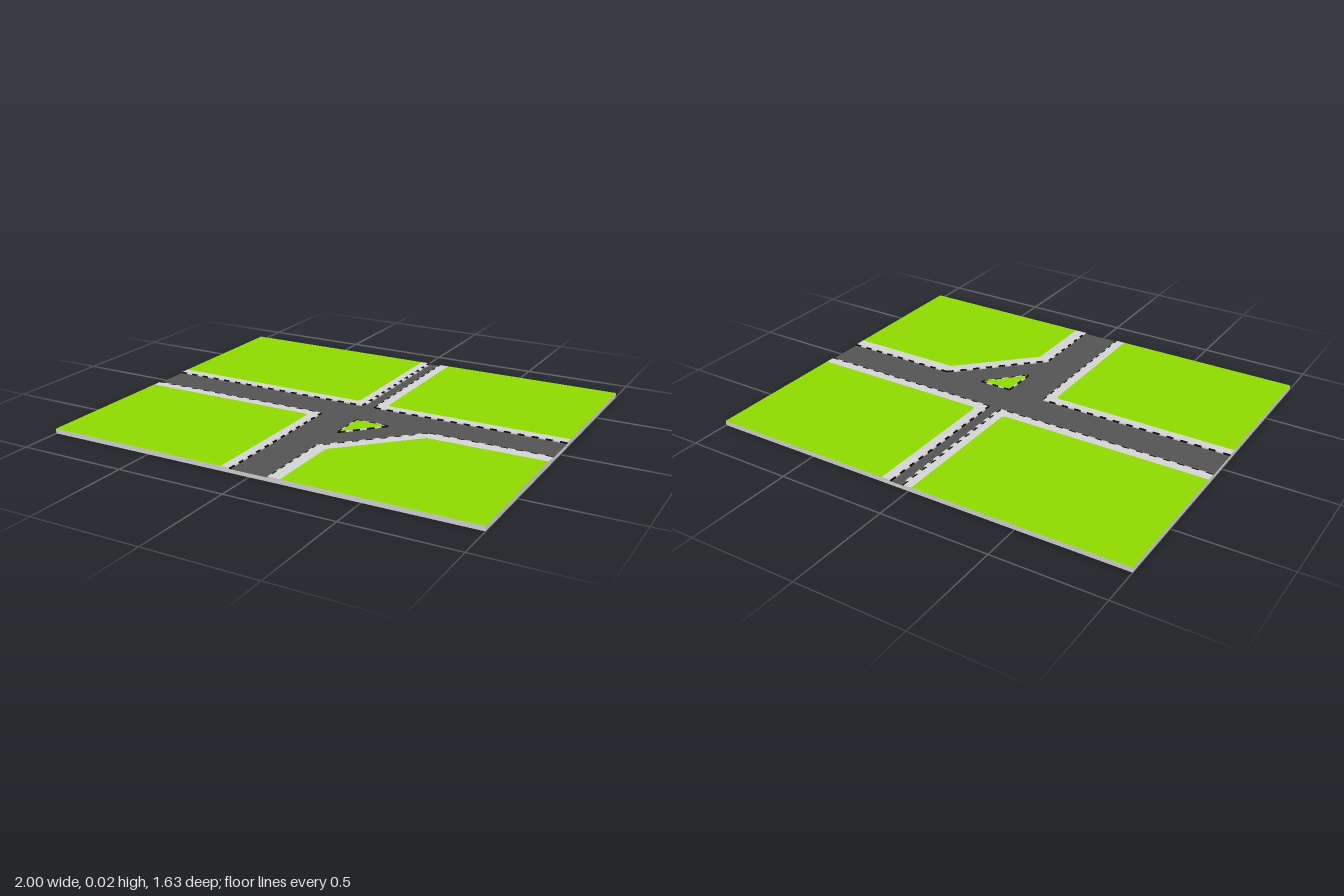
import * as THREE from 'three';
import { mergeGeometries } from 'three/addons/utils/BufferGeometryUtils.js';

const W = 1, D = 0.817;              // half width, half depth
const ROAD = 0.017, TOP = 0.022;     // road and pavement heights
const DASH = 0.032, KERB = 0.006;    // kerb stone length and width

const material = (name, color, side = THREE.FrontSide) => {
  const m = new THREE.MeshStandardMaterial({ color, side });
  m.name = name;
  return m;
};

export function createModel() {
  const asphalt = material('asphalt', 0x555555);
  const concrete = material('concrete', 0xd6d6d6, THREE.DoubleSide);
  const grass = material('grass', 0x90dc00);
  const black = material('blackKerb', 0x0c0c0c);

  const model = new THREE.Group();
  model.name = 'roadJunction';
  const add = (parent, name, geometry, mat) => {
    const mesh = new THREE.Mesh(geometry, mat);
    mesh.name = name;
    parent.add(mesh);
  };

  // Flat horizontal face from [x, z] points
  const flat = (points, y) => {
    const shape = new THREE.Shape(points.map(([x, z]) => new THREE.Vector2(x, -z)));
    return new THREE.ShapeGeometry(shape).rotateX(-Math.PI / 2).translate(0, y, 0);
  };

  // Vertical wall along an open line of [x, z] points
  const wall = (points, y0, y1) => {
    const pos = [];
    for (let i = 0; i + 1 < points.length; i++) {
      const [ax, az] = points[i], [bx, bz] = points[i + 1];
      pos.push(ax, y0, az, bx, y0, bz, bx, y1, bz, ax, y0, az, bx, y1, bz, ax, y1, az);
    }
    const g = new THREE.BufferGeometry();
    g.setAttribute('position', new THREE.Float32BufferAttribute(pos, 3));
    g.computeVertexNormals();
    return g;
  };

  // Alternating black and pale kerb stones along a line; lips widen the pale ones per stretch
  const addKerb = (parent, points, lips = []) => {
    const dark = [], pale = [];
    for (let i = 0; i + 1 < points.length; i++) {
      const [ax, az] = points[i], [bx, bz] = points[i + 1];
      const length = Math.hypot(bx - ax, bz - az);
      const count = Math.max(2, Math.round(length / DASH));
      const h = TOP + 0.0004 - ROAD;
      for (let k = 0; k < count; k++) {
        const t = (k + 0.5) / count;
        const isDark = k % 2 === 0;
        const width = isDark ? KERB : lips[i] ?? KERB;
        const stone = new THREE.BoxGeometry(length / count, h, width)
          .rotateY(-Math.atan2(bz - az, bx - ax))
          .translate(ax + (bx - ax) * t, ROAD + h / 2, az + (bz - az) * t);
        (isDark ? dark : pale).push(stone);
      }
    }
    add(parent, 'blackKerbStones', mergeGeometries(dark), black);
    add(parent, 'paleKerbStones', mergeGeometries(pale), concrete);
  };

  // Slab: asphalt on top, concrete around the rim and below
  add(model, 'roadSlab', new THREE.BoxGeometry(2 * W, ROAD, 2 * D).translate(0, ROAD / 2, 0),
    [concrete, concrete, asphalt, concrete, concrete, concrete]);

  // Each corner block: road edge and lawn edge, both running border to border
  const blocks = [
    { name: 'backRight', corner: [-W, -D], lips: [KERB, 0.024],
      edge: [[-W, -0.09], [0.024, -0.09], [0.024, -D]],
      lawn: [[-W, -0.135], [-0.027, -0.135], [-0.015, -0.147], [-0.015, -D]] },
    { name: 'backLeft', corner: [W, -D],
      edge: [[W, -0.09], [0.088, -0.09], [0.088, -D]],
      lawn: [[W, -0.135], [0.145, -0.135], [0.133, -0.147], [0.133, -D]] },
    { name: 'frontRight', corner: [-W, D],
      edge: [[-W, 0.09], [-0.09, 0.09], [-0.09, D]],
      lawn: [[-W, 0.133], [-0.145, 0.133], [-0.133, 0.145], [-0.133, D]] },
    { name: 'frontLeft', corner: [W, D], lips: [KERB, 0.016],
      edge: [[W, 0.09], [0.445, 0.09], [0.09, 0.445], [0.09, D]],
      lawn: [[W, 0.145], [0.46, 0.145], [0.145, 0.46], [0.145, D]] },
  ];
  for (const { name, corner, edge, lawn, lips } of blocks) {
    const block = new THREE.Group();
    block.name = name + 'Block';
    model.add(block);
    // Pavement strip lies between the two edges
    add(block, 'pavement', flat([...edge, ...[...lawn].reverse()], TOP), concrete);
    add(block, 'lawn', flat([...lawn, corner], TOP), grass);
    add(block, 'rim', wall([edge[0], corner, edge[edge.length - 1]], ROAD, TOP), concrete);
    addKerb(block, edge, lips);
  }

  // Triangular traffic island
  const island = [[0.093, 0.093], [0.25, 0.093], [0.093, 0.262]];
  const islandGroup = new THREE.Group();
  islandGroup.name = 'trafficIsland';
  model.add(islandGroup);
  add(islandGroup, 'islandLawn', flat(island, TOP), grass);
  addKerb(islandGroup, [...island, island[0]]);

  return model;
}
